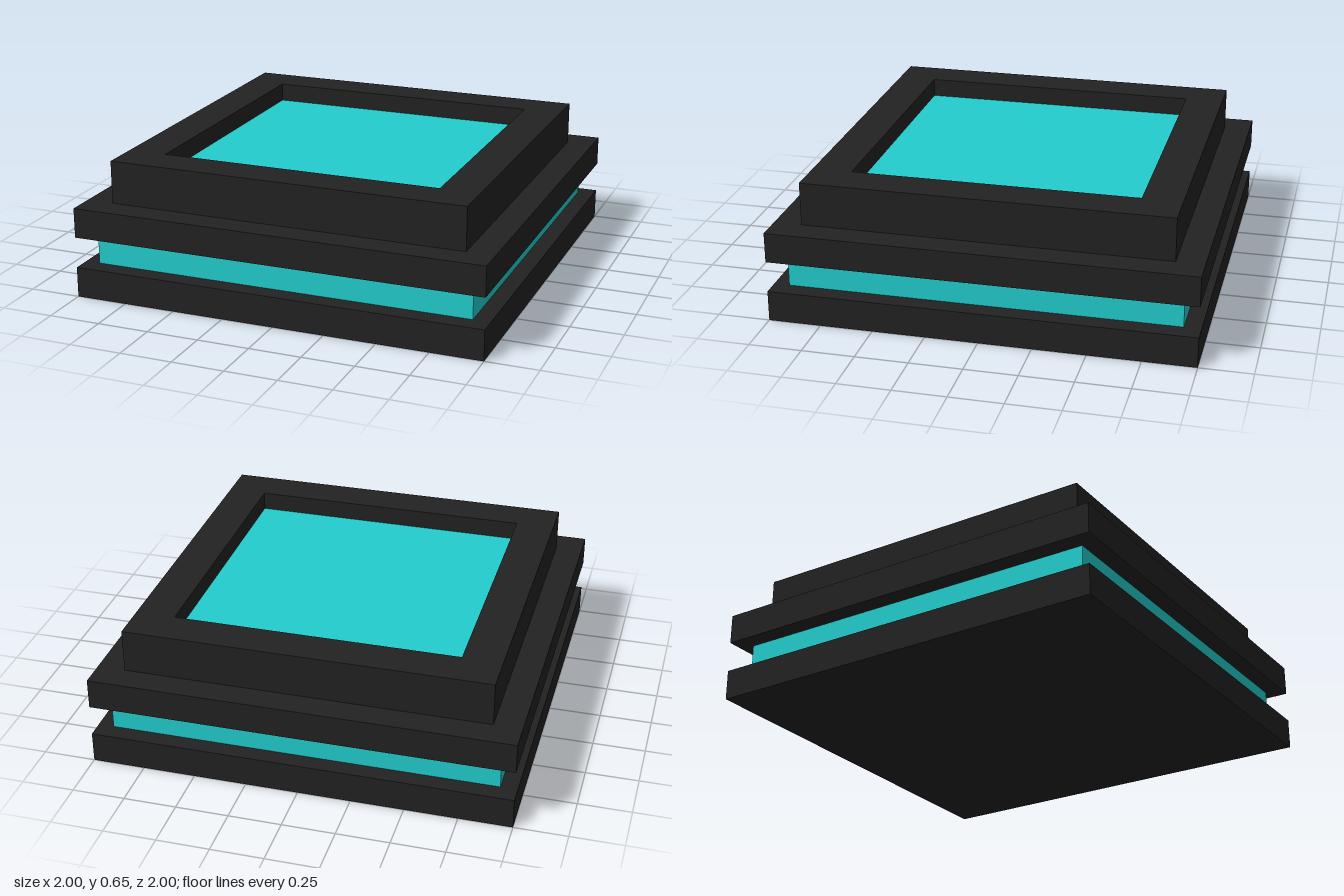
import * as THREE from 'three';

const black = new THREE.MeshStandardMaterial({ color: 0x222222, flatShading: true });
black.name = 'black casing';
const teal = new THREE.MeshStandardMaterial({ color: 0x22cccc, flatShading: true });
teal.name = 'glowing teal';

// Square solid swept from a profile of [half width, height], listed bottom to top on the outside
function squareSweep(name, profile, material) {
  const points = profile.map(([half, y]) => new THREE.Vector2(half * Math.SQRT2, y));
  const mesh = new THREE.Mesh(new THREE.LatheGeometry(points, 4, Math.PI / 4), material);
  mesh.name = name;
  return mesh;
}

export function createModel() {
  const group = new THREE.Group();
  group.name = 'padPlatform';

  // Base slab, its top rising slightly towards the band
  group.add(squareSweep('baseSlab', [[0, 0], [1, 0], [1, 0.147], [0.92, 0.152], [0, 0.152]], black));

  // Recessed light band between the slabs
  group.add(squareSweep('lightBand', [[0.922, 0.15], [0.922, 0.292]], teal));

  // Upper slab with the raised rim and its sunken well
  group.add(squareSweep('upperSlab', [[0, 0.29], [0.92, 0.29], [1, 0.296], [1, 0.44], [0.868, 0.44]], black));
  group.add(squareSweep('raisedRim', [[0.868, 0.44], [0.868, 0.647], [0.68, 0.647], [0.68, 0.555]], black));

  // Square panel at the bottom of the well
  const panel = new THREE.Mesh(new THREE.PlaneGeometry(1.36, 1.36), teal);
  panel.name = 'topPanel';
  panel.rotation.x = -Math.PI / 2;
  panel.position.y = 0.557;
  group.add(panel);

  return group;
}
